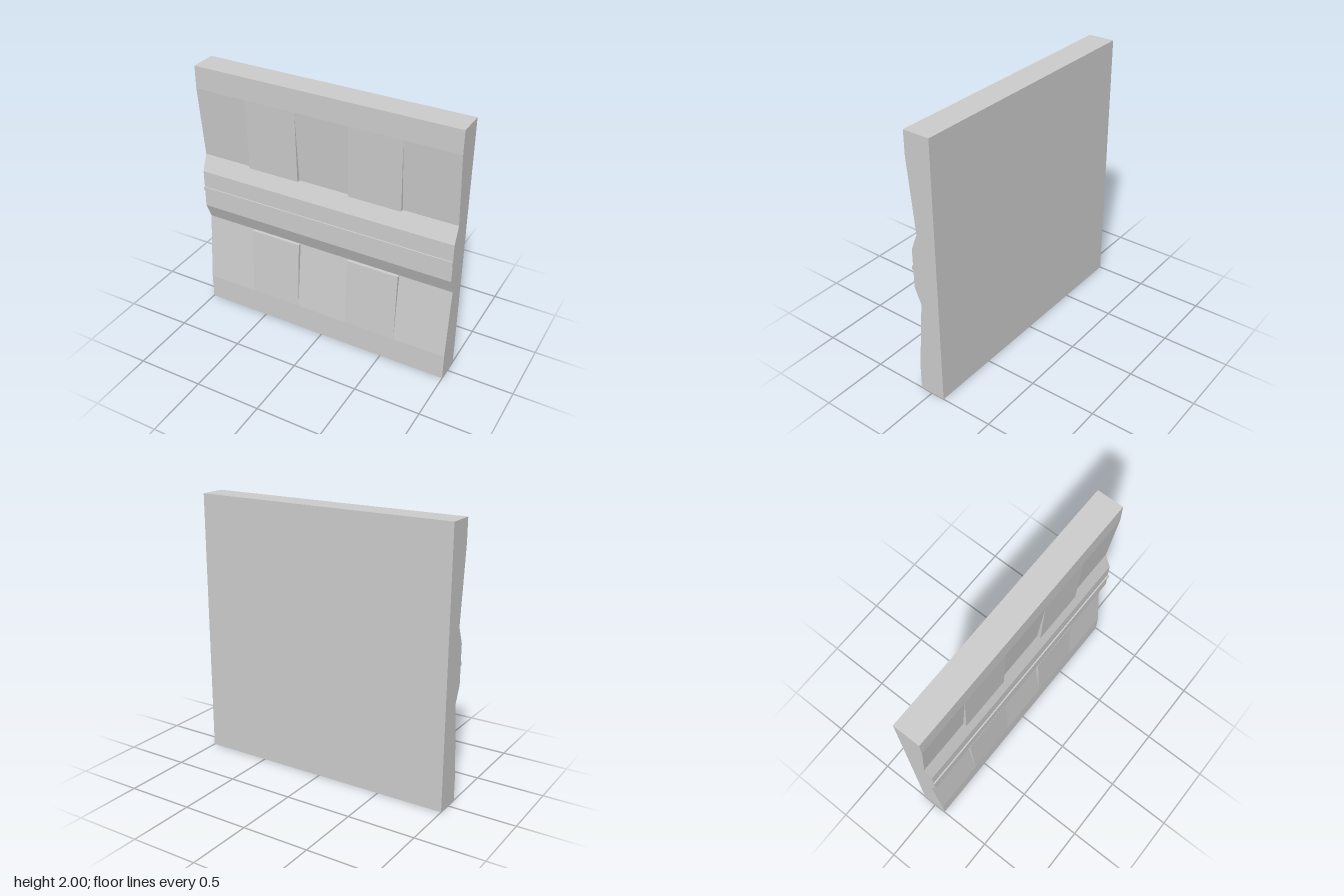
import * as THREE from 'three';

const material = new THREE.MeshStandardMaterial({ color: 0xcccccc, flatShading: true });

// Extrudes a [z, y] side profile along x, centred on the given x
function profileBar(name, points, width, x = 0) {
  const shape = new THREE.Shape(points.map(([z, y]) => new THREE.Vector2(z, y)));
  const geometry = new THREE.ExtrudeGeometry(shape, { depth: width, bevelEnabled: false });
  geometry.translate(0, 0, -width / 2);
  geometry.rotateY(-Math.PI / 2);
  const mesh = new THREE.Mesh(geometry, material);
  mesh.name = name;
  mesh.position.x = x;
  return mesh;
}

export function createModel() {
  const group = new THREE.Group();
  group.name = 'wallPanel';
  const back = -0.105, face = 0.095, groove = 0.045, middle = 1.015;

  // Slab with two sloped recesses mirrored about the middle band
  group.add(profileBar('slab', [
    [back, 0], [face, 0], [face, 0.2], [groove, 0.745], [face, 0.865],
    [face, 1.16], [groove, 1.285], [face, 1.83], [face, 2], [back, 2],
  ], 2));

  // Thin rail along the middle band
  const rail = new THREE.Mesh(new THREE.BoxGeometry(2, 0.03, 0.03), material);
  rail.name = 'middleRail';
  rail.position.set(0, 1.015, 0.09);
  group.add(rail);

  // Raised wedge plates on the upper and lower slopes
  for (const side of [-1, 1]) {
    for (const up of [-1, 1]) {
      const near = middle + up * 0.27, far = middle + up * 0.815;
      const name = (up > 0 ? 'upper' : 'lower') + (side > 0 ? 'Left' : 'Right') + 'Plate';
      group.add(profileBar(name, [[0, near], [0.072, near], [face, far], [0, far]], 0.4, side * 0.4));
    }
  }
  return group;
}
